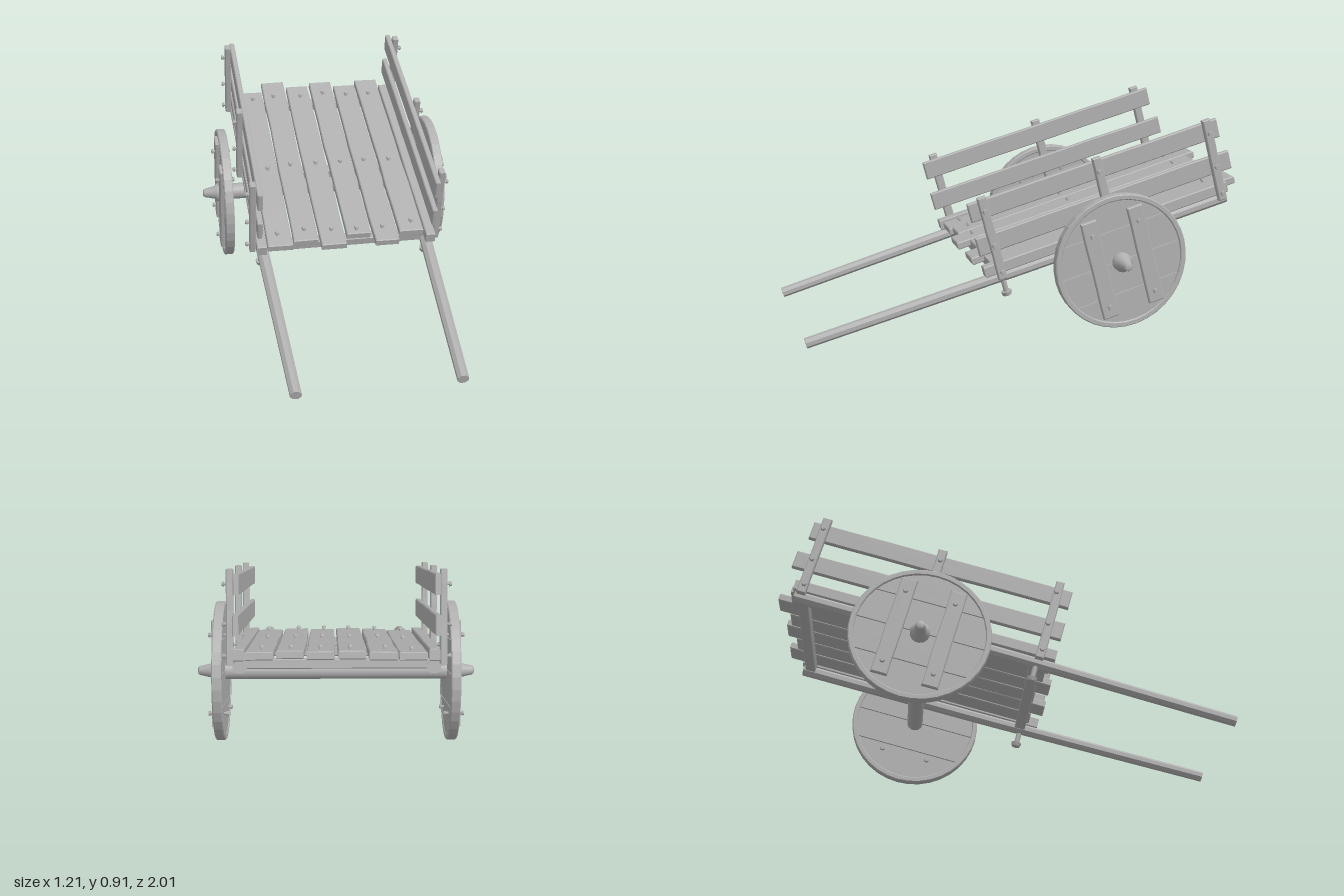
import * as THREE from 'three';

const wood = new THREE.MeshStandardMaterial({ color: 0xb0b0b0 });
wood.name = 'weathered wood';

// small seeded generator for hand-cut irregularity
let seed = 7;
const rnd = () => {
  seed = (seed * 16807) % 2147483647;
  return seed / 2147483647 - 0.5;
};

function add(parent, name, geometry, x = 0, y = 0, z = 0) {
  const m = new THREE.Mesh(geometry, wood);
  m.name = name;
  m.position.set(x, y, z);
  parent.add(m);
  return m;
}

// rough-sawn board: width along x, thickness along y, length along z, centred
function board(width, thick, length, wobble = 0.005) {
  const b = 0.004, n = 7, w = width / 2 - b, l = length / 2 - b;
  const pts = [];
  for (let i = 0; i <= n; i++) pts.push(new THREE.Vector2(w - Math.abs(rnd()) * wobble, -l + (2 * l * i) / n));
  for (let i = n; i >= 0; i--) pts.push(new THREE.Vector2(-w + Math.abs(rnd()) * wobble, -l + (2 * l * i) / n));
  const g = new THREE.ExtrudeGeometry(new THREE.Shape(pts), {
    depth: thick - 2 * b, bevelEnabled: true, bevelSize: b, bevelThickness: b, bevelSegments: 1,
  });
  g.translate(0, 0, -thick / 2 + b);
  return g.rotateX(Math.PI / 2);
}

// bolt with a faceted head, axis along +y
function bolt(parent, x, y, z, sideways = 0) {
  const g = new THREE.Group();
  g.name = 'bolt';
  const shank = new THREE.CylinderGeometry(0.007, 0.007, 0.016, 6);
  const head = new THREE.CylinderGeometry(0.009, 0.012, 0.01, 6);
  add(g, 'boltShank', shank, 0, 0.004, 0);
  add(g, 'boltHead', head, 0, 0.014, 0);
  g.position.set(x, y, z);
  g.rotation.z = -sideways * Math.PI / 2;
  parent.add(g);
}

// slab cut from a disc between two heights
function discSlab(r, y0, y1, thick) {
  const s = new THREE.Shape(), a0 = Math.asin(y0 / r), a1 = Math.asin(y1 / r);
  s.absarc(0, 0, r, a0, a1, false);
  s.absarc(0, 0, r, Math.PI - a1, Math.PI - a0, false);
  const g = new THREE.ExtrudeGeometry(s, { depth: thick, bevelEnabled: false, curveSegments: 14 });
  return g.translate(0, 0, -thick / 2).rotateY(Math.PI / 2);
}

function wheel(side) {
  const g = new THREE.Group();
  g.name = side > 0 ? 'leftWheel' : 'rightWheel';
  // iron-like rim band
  const ring = new THREE.Shape().absarc(0, 0, 0.301, 0, Math.PI * 2);
  ring.holes.push(new THREE.Path().absarc(0, 0, 0.284, 0, Math.PI * 2, true));
  const rim = new THREE.ExtrudeGeometry(ring, {
    depth: 0.034, bevelEnabled: true, bevelSize: 0.004, bevelThickness: 0.004, bevelSegments: 1, curveSegments: 18,
  });
  add(g, 'rim', rim.translate(0, 0, -0.017).rotateY(Math.PI / 2), side * 0.502);
  // disc planks
  const cuts = [-0.283, -0.14, 0.005, 0.15, 0.283];
  for (let i = 0; i < 4; i++) {
    add(g, 'wheelPlank', discSlab(0.287, cuts[i] + 0.002, cuts[i + 1] - 0.002, 0.03), side * 0.5);
  }
  // battens and their bolts through both faces
  for (const z of [0.108, -0.112]) {
    const batten = board(0.075, 0.022, 0.46, 0.006).rotateX(Math.PI / 2).rotateY(Math.PI / 2);
    add(g, 'batten', batten, side * 0.524, 0, z);
    for (const y of [0.165, -0.175]) {
      bolt(g, side * 0.533, y, z, side);
      bolt(g, side * 0.482, y, z, -side);
    }
  }
  // hub collar and tapered axle tip
  const hub = new THREE.LatheGeometry([
    [0.043, 0.515], [0.043, 0.54], [0.032, 0.545], [0.02, 0.598], [0.014, 0.605], [0, 0.605],
  ].map(p => new THREE.Vector2(...p)), 14);
  add(g, 'hub', hub).rotation.z = -side * Math.PI / 2;
  return g;
}

function sideParts(side) {
  const g = new THREE.Group();
  g.name = side > 0 ? 'leftSide' : 'rightSide';
  // long bed rail
  add(g, 'bedRail', board(0.046, 0.05, 1.18, 0.004), side * 0.388, 0.122, -0.01);
  // pull shaft, straight under the bed and angled inward ahead of it
  const shaft = new THREE.CylinderGeometry(0.026, 0.031, 1.985, 8, 14).rotateY(Math.PI / 8).rotateX(Math.PI / 2);
  const p = shaft.attributes.position;
  for (let i = 0; i < p.count; i++) {
    const z = p.getZ(i) + 0.4075;
    const bend = Math.max(0, z - 0.35) * 0.033;
    p.setXYZ(i, p.getX(i) + side * (0.385 - bend), p.getY(i) * 0.88 + 0.073, z);
  }
  const flat = shaft.toNonIndexed();
  flat.computeVertexNormals();
  add(g, 'pullShaft', flat);
  // peg below the shaft
  add(g, 'pegStem', new THREE.CylinderGeometry(0.012, 0.012, 0.08, 8), side * 0.385, 0.03, 0.505);
  add(g, 'pegHead', new THREE.CylinderGeometry(0.024, 0.02, 0.018, 8), side * 0.385, -0.008, 0.505);
  // side boards
  for (const [y, z, l] of [[0.402, -0.02, 1.19], [0.242, -0.03, 1.22]]) {
    add(g, 'sideBoard', board(0.088, 0.024, l, 0.006).rotateZ(Math.PI / 2), side * 0.398, y, z);
  }
  // upright posts with bolts
  for (const z of [0.512, -0.025, -0.557]) {
    const post = board(0.042, 0.028, 0.385, 0.005).rotateX(Math.PI / 2).rotateY(Math.PI / 2);
    add(g, 'post', post, side * 0.425, 0.27, z);
    for (const y of [0.402, 0.242, 0.115]) bolt(g, side * 0.438, y, z + rnd() * 0.012, side);
  }
  return g;
}

export function createModel() {
  const model = new THREE.Group();
  model.name = 'handcart';
  // everything is laid out level around the axle, then tipped onto the shafts
  const cart = new THREE.Group();
  cart.name = 'tippedCart';
  cart.position.set(0, 0.31, -0.37);
  cart.rotation.x = 0.26;
  model.add(cart);

  // deck planks: centre x, back z, front z
  const deck = new THREE.Group();
  deck.name = 'deck';
  cart.add(deck);
  const planks = [
    [-0.302, -0.615, 0.565], [-0.183, -0.683, 0.55], [-0.061, -0.635, 0.59],
    [0.062, -0.66, 0.53], [0.185, -0.62, 0.59], [0.307, -0.66, 0.535],
  ];
  for (const [x, back, front] of planks) {
    const y = 0.122 + rnd() * 0.008;
    const m = add(deck, 'deckPlank', board(0.117, 0.034, front - back, 0.01), x, y, (back + front) / 2);
    m.rotation.z = rnd() * 0.03;
    for (const z of [-0.545, 0.01, 0.49]) bolt(deck, x + rnd() * 0.02, y + 0.016, z + rnd() * 0.03);
  }

  // cross beams under the deck
  for (const z of [-0.55, 0, 0.5]) {
    add(cart, 'crossBeam', board(0.05, 0.04, 0.78, 0.004).rotateY(Math.PI / 2), 0, 0.085, z);
  }

  // axle
  add(cart, 'axle', new THREE.CylinderGeometry(0.038, 0.038, 1.0, 14).rotateZ(Math.PI / 2));

  for (const side of [1, -1]) {
    cart.add(sideParts(side));
    cart.add(wheel(side));
  }
  return model;
}
